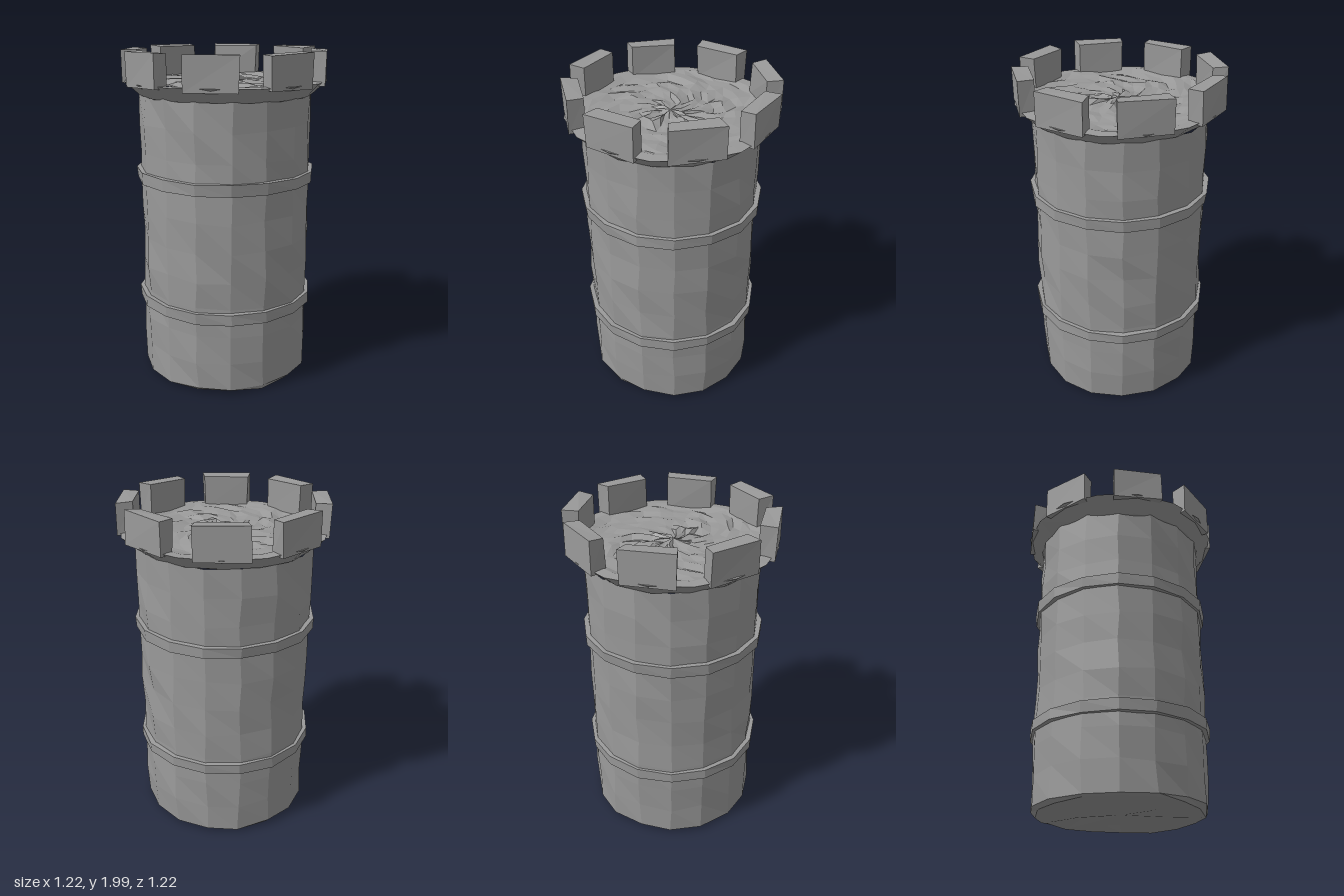
import * as THREE from 'three';

// Repeatable noise in -1..1 from a position, so coincident vertices move together
function noise(x, y, z, salt) {
  const q = (v) => Math.round(v * 500);
  const s = Math.sin(q(x) * 12.9898 + q(y) * 78.233 + q(z) * 37.719 + salt * 11.17) * 43758.5453;
  return (s - Math.floor(s)) * 2 - 1;
}

// Shift every vertex a little to give hewn, uneven stone
function roughen(geometry, horizontal, vertical, salt = 0) {
  const p = geometry.attributes.position;
  for (let i = 0; i < p.count; i++) {
    const x = p.getX(i), y = p.getY(i), z = p.getZ(i);
    p.setXYZ(i,
      x + noise(x, y, z, salt + 1) * horizontal,
      y + noise(x, y, z, salt + 2) * vertical,
      z + noise(x, y, z, salt + 3) * horizontal);
  }
  geometry.computeVertexNormals();
  return geometry;
}

function lathe(profile, sides, phase = 0) {
  return new THREE.LatheGeometry(profile.map(([r, y]) => new THREE.Vector2(r, y)), sides, phase);
}

export function createModel() {
  const tower = new THREE.Group();
  tower.name = 'tower';
  const stone = new THREE.MeshStandardMaterial({ color: 0x999999, flatShading: true });
  stone.name = 'grey stone';

  const add = (geometry, name, parent = tower) => {
    const mesh = new THREE.Mesh(geometry, stone);
    mesh.name = name;
    parent.add(mesh);
    return mesh;
  };

  // Sixteen-sided shaft with a worn foot and a closed base
  const shaft = [[0, 0.012], [0.25, 0.014], [0.485, 0.012], [0.513, 0.03]];
  for (let i = 1; i <= 10; i++) shaft.push([0.515, 0.03 + i * 0.172]);
  add(roughen(lathe(shaft, 16), 0.008, 0.01), 'shaft');

  // Two raised bands
  [['lowerBand', 0.46], ['upperBand', 1.23]].forEach(([name, y], i) => {
    const band = [[0.495, y - 0.002], [0.536, y], [0.54, y + 0.066], [0.495, y + 0.068]];
    add(roughen(lathe(band, 16), 0.004, 0.004, i * 5), name);
  });

  // Flared collar carrying the battlements
  const collar = [[0.5, 1.735], [0.515, 1.74], [0.603, 1.82], [0.54, 1.822], [0.47, 1.8]];
  add(roughen(lathe(collar, 16, Math.PI / 16), 0.004, 0.004), 'collar');

  // Rubble floor, raised slightly toward the rim
  const floor = [];
  for (let r = 0.54; r > 0.01; r -= 0.06) floor.push([r, r > 0.5 ? 1.815 : 1.807]);
  floor.push([0, 1.805]);
  add(roughen(lathe(floor, 30), 0.012, 0.013), 'floor');

  // Eight merlons, narrower on the inside
  const merlons = new THREE.Group();
  merlons.name = 'merlons';
  tower.add(merlons);
  for (let k = 0; k < 8; k++) {
    const block = new THREE.BoxGeometry(0.3, 0.192, 0.092);
    const p = block.attributes.position;
    for (let i = 0; i < p.count; i++) if (p.getZ(i) < 0) p.setX(i, p.getX(i) * 0.89);
    roughen(block, 0.005, 0.006, k * 7);
    block.translate(0, 1.898, 0.546);
    block.rotateY(THREE.MathUtils.degToRad(-11.25 + k * 45));
    add(block, 'merlon', merlons);
  }
  return tower;
}
